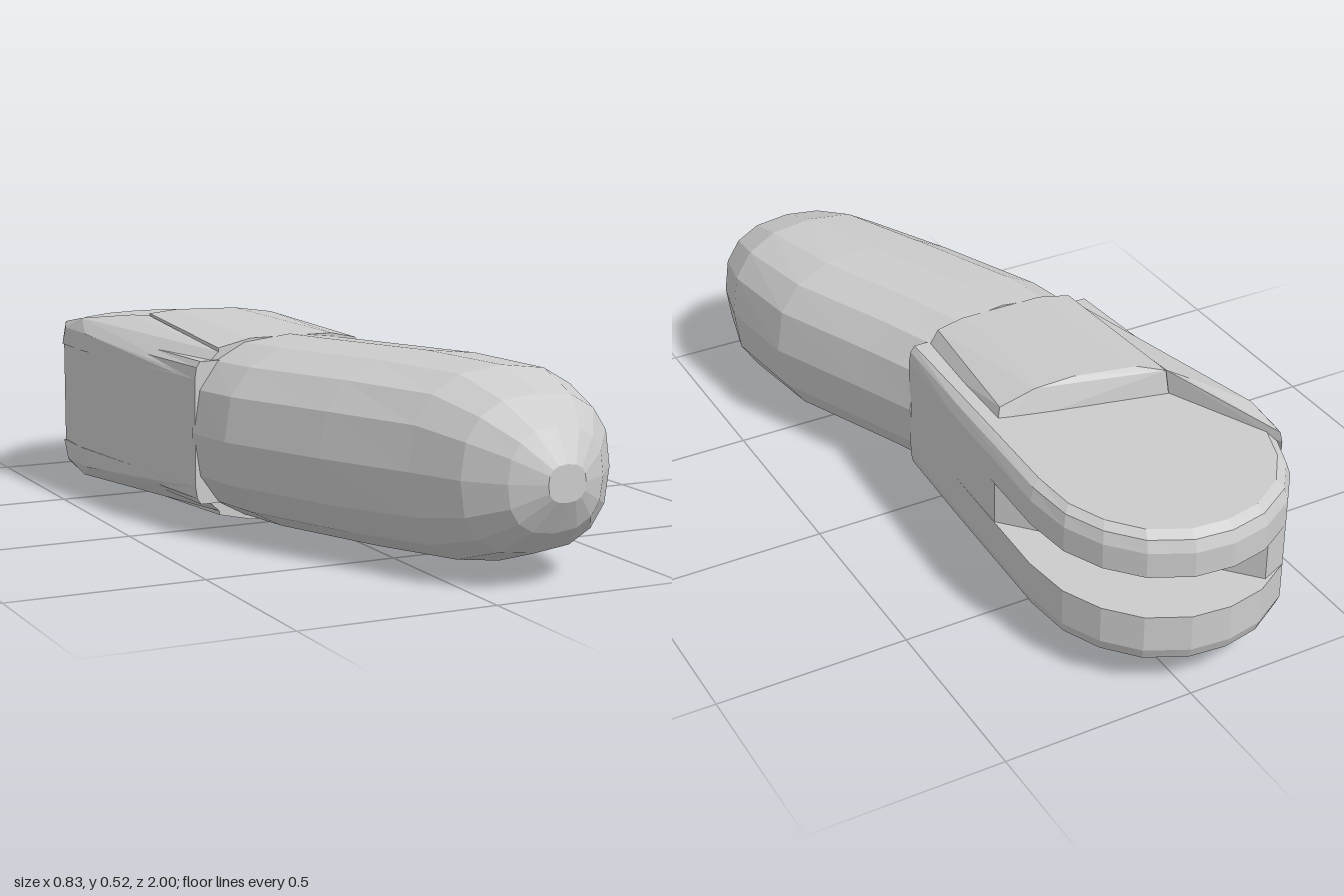
import * as THREE from 'three';
import { ConvexGeometry } from 'three/addons/geometries/ConvexGeometry.js';

const H = 0.525; // total height; the shape mirrors about its middle
const V = (x, y, z) => new THREE.Vector3(x, y, z);
const material = new THREE.MeshStandardMaterial({ color: 0xcccccc, flatShading: true });

// Skin a list of equal-length rings and close both ends; faces always point outward
function loft(rings) {
  const n = rings[0].length;
  const tris = [];
  for (let r = 0; r < rings.length - 1; r++) {
    for (let i = 0; i < n; i++) {
      const j = (i + 1) % n;
      const [a, b, c, d] = [rings[r][i], rings[r][j], rings[r + 1][j], rings[r + 1][i]];
      tris.push([a, b, c], [a, c, d]);
    }
  }
  const cap = (ring, flip) => {
    const mid = ring.reduce((s, p) => s.add(p), V(0, 0, 0)).divideScalar(n);
    ring.forEach((p, i) => {
      const q = ring[(i + 1) % n];
      tris.push(flip ? [mid, q, p] : [mid, p, q]);
    });
  };
  cap(rings[0], true);
  cap(rings[rings.length - 1], false);
  const volume = tris.reduce((s, [a, b, c]) => s + a.dot(b.clone().cross(c)), 0);
  if (volume < 0) tris.forEach((t) => t.reverse());
  const geometry = new THREE.BufferGeometry().setFromPoints(tris.flat());
  geometry.computeVertexNormals();
  return geometry;
}

// Rounded outline of the forked base, seen from above, as [x, z]
const outline = [
  [-0.34, 0.06], [-0.37, -0.2], [-0.415, -0.6], [-0.41, -0.73], [-0.37, -0.83],
  [-0.3, -0.92], [-0.2, -0.98], [-0.1, -1], [0, -0.99], [0.1, -0.94],
  [0.17, -0.86], [0.215, -0.76], [0.23, -0.63], [0.215, -0.2], [0.2, 0.06],
];

// Outline at a given height, optionally drawn in toward its centre
function level(points, y, inset = 0) {
  const cx = -0.09, cz = -0.47;
  return points.map(([x, z]) => {
    const d = Math.hypot(x - cx, z - cz);
    const k = (d - inset) / d;
    return V(cx + (x - cx) * k, y, z > 0 ? z : cz + (z - cz) * k);
  });
}

export function createModel() {
  const group = new THREE.Group();
  const add = (name, geometry) => {
    const mesh = new THREE.Mesh(geometry, material);
    mesh.name = name;
    group.add(mesh);
  };

  // Rounded tip: bulging sections [z, left x, right x, half height]
  const sections = [
    [0.05, -0.345, 0.205, 0.24], [0.2, -0.32, 0.265, 0.243], [0.49, -0.2, 0.385, 0.245],
    [0.73, -0.085, 0.412, 0.237], [0.87, -0.025, 0.378, 0.19], [0.955, 0.05, 0.305, 0.125],
    [1, 0.13, 0.23, 0.045],
  ];
  const sides = 16;
  const bulge = (v) => Math.sign(v) * Math.abs(v) ** 0.8;
  add('tip', loft(sections.map(([z, x0, x1, h]) =>
    Array.from({ length: sides }, (_, i) => {
      const a = (i / sides) * Math.PI * 2;
      return V((x0 + x1) / 2 + bulge(Math.cos(a)) * (x1 - x0) / 2, 0.265 + bulge(Math.sin(a)) * h, z);
    }))));

  // Fork plates with chamfered outer edges
  const plate = (inner, shoulder, outer) => loft([
    level(outline, inner), level(outline, shoulder), level(outline, (shoulder + outer * 2) / 3, 0.012),
    level(outline, outer, 0.035),
  ]);
  add('upperForkPlate', plate(0.338, 0.405, 0.45));
  add('lowerForkPlate', plate(0.222, 0.125, 0.08));

  // Core between the plates, cut diagonally to leave the slot
  const core = [...outline.slice(0, 6), [-0.23, -0.95], [0.222, -0.44], ...outline.slice(13)];
  add('core', loft([level(core, 0.2), level(core, 0.36)]));

  // Raised cover and side guard, on top and mirrored below
  const cover = [
    [-0.27, 0.42, 0.05], [-0.27, 0.42, -0.452], [0.168, 0.42, -0.352], [0.16, 0.42, 0.05],
    [-0.27, 0.48, 0.05], [-0.18, 0.5, 0.05], [0.05, 0.5, 0.05], [0.12, 0.485, 0.05],
    [-0.265, 0.512, -0.435], [-0.2, 0.524, -0.4], [-0.04, 0.524, -0.365], [0.06, 0.51, -0.35],
    [0.15, 0.475, -0.335],
  ];
  const guard = [
    [-0.34, 0.4, 0.05], [-0.27, 0.4, 0.05], [-0.27, 0.44, -0.45], [-0.4, 0.44, -0.75],
    [-0.415, 0.4, -0.73], [-0.415, 0.4, -0.58], [-0.415, 0.45, -0.7], [-0.412, 0.45, -0.55],
    [-0.27, 0.47, 0.05], [-0.335, 0.41, 0.05], [-0.27, 0.508, -0.43], [-0.3, 0.505, -0.48],
    [-0.395, 0.485, -0.62], [-0.4, 0.462, -0.74],
  ];
  for (const [side, flip] of [['upper', false], ['lower', true]]) {
    const hull = (points) =>
      new ConvexGeometry(points.map(([x, y, z]) => V(x, flip ? H - y : y, z)));
    add(side + 'Cover', hull(cover));
    add(side + 'SideGuard', hull(guard));
  }
  return group;
}
